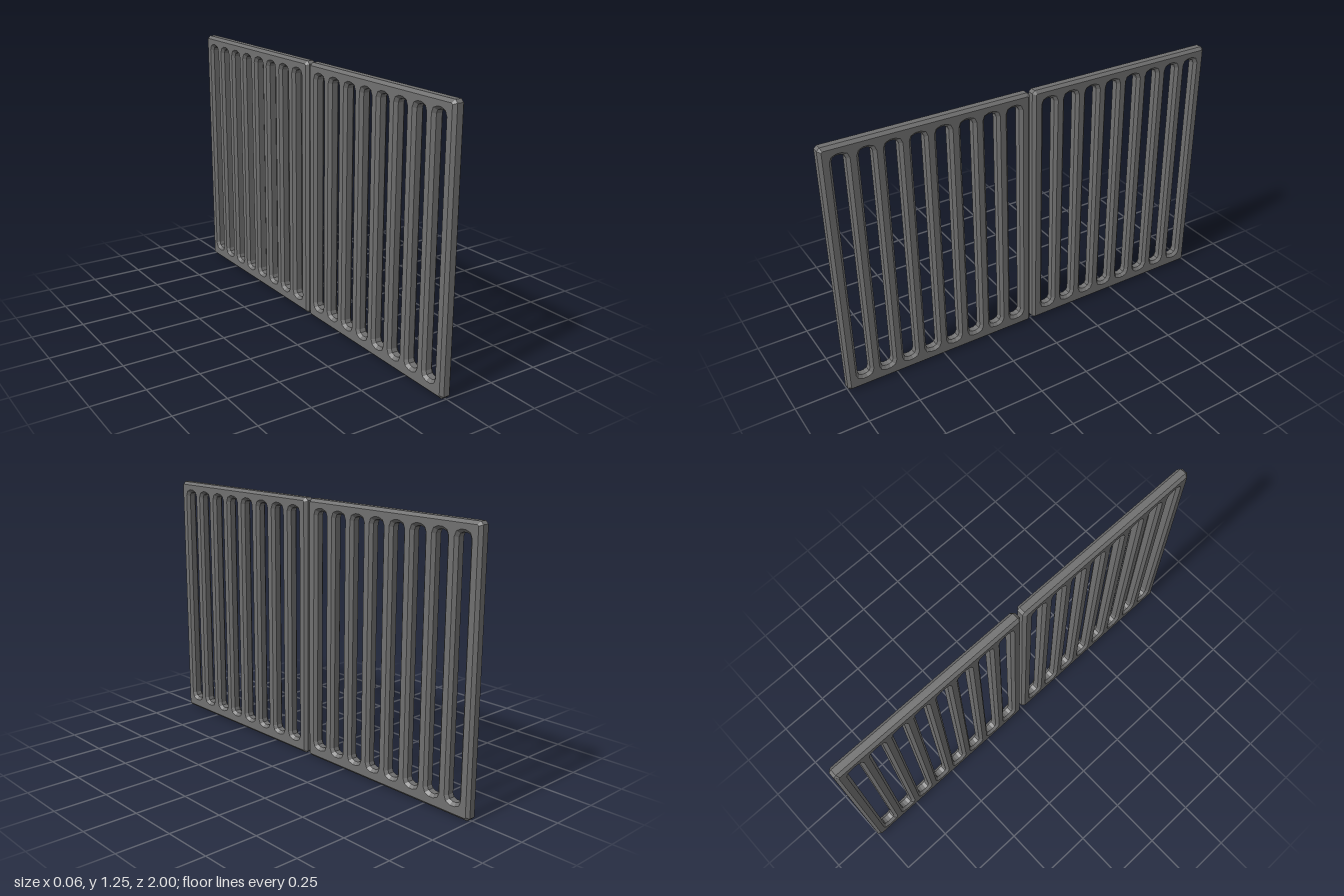
import * as THREE from 'three';

const HEIGHT = 1.255;
const GAP = 0.007;          // half the gap between the panels
const BEVEL = 0.0135;
const THICKNESS = 0.057;
const SLOTS = 8;
const PITCH = 0.1172;

// Rectangle outline with faceted rounded corners
function roundedRect(cx, cy, hw, hh, r, segments) {
  const points = [];
  const corners = [[1, 1], [-1, 1], [-1, -1], [1, -1]];
  corners.forEach(([sx, sy], i) => {
    for (let k = 0; k <= segments; k++) {
      const a = (i + k / segments) * Math.PI / 2;
      points.push(new THREE.Vector2(
        cx + sx * (hw - r) + r * Math.cos(a),
        cy + sy * (hh - r) + r * Math.sin(a)
      ));
    }
  });
  return points;
}

// Bevelled plate pierced by a row of tall slots
function panelGeometry() {
  const shape = new THREE.Shape(
    roundedRect(0, HEIGHT / 2, (1 - GAP) / 2, HEIGHT / 2, 0.013, 1)
  );
  for (let i = 0; i < SLOTS; i++) {
    const x = (i - (SLOTS - 1) / 2) * PITCH;
    shape.holes.push(new THREE.Path(
      roundedRect(x, 0.632, 0.031, 0.571, 0.022, 2).reverse()
    ));
  }
  const depth = THICKNESS - 2 * BEVEL;
  const geometry = new THREE.ExtrudeGeometry(shape, {
    depth,
    bevelEnabled: true,
    bevelThickness: BEVEL,
    bevelSize: BEVEL,
    bevelOffset: -BEVEL,
    bevelSegments: 1
  });
  geometry.translate(0, 0, -depth / 2);
  geometry.rotateY(Math.PI / 2);
  return geometry;
}

export function createModel() {
  const group = new THREE.Group();
  group.name = 'slottedGrille';
  const material = new THREE.MeshStandardMaterial({ color: 0x707070, flatShading: true });
  const geometry = panelGeometry();

  // Front and back panels, side by side along z
  for (const [name, side] of [['frontPanel', 1], ['backPanel', -1]]) {
    const panel = new THREE.Mesh(geometry, material);
    panel.name = name;
    panel.position.z = side * (1 + GAP) / 2;
    group.add(panel);
  }
  return group;
}
